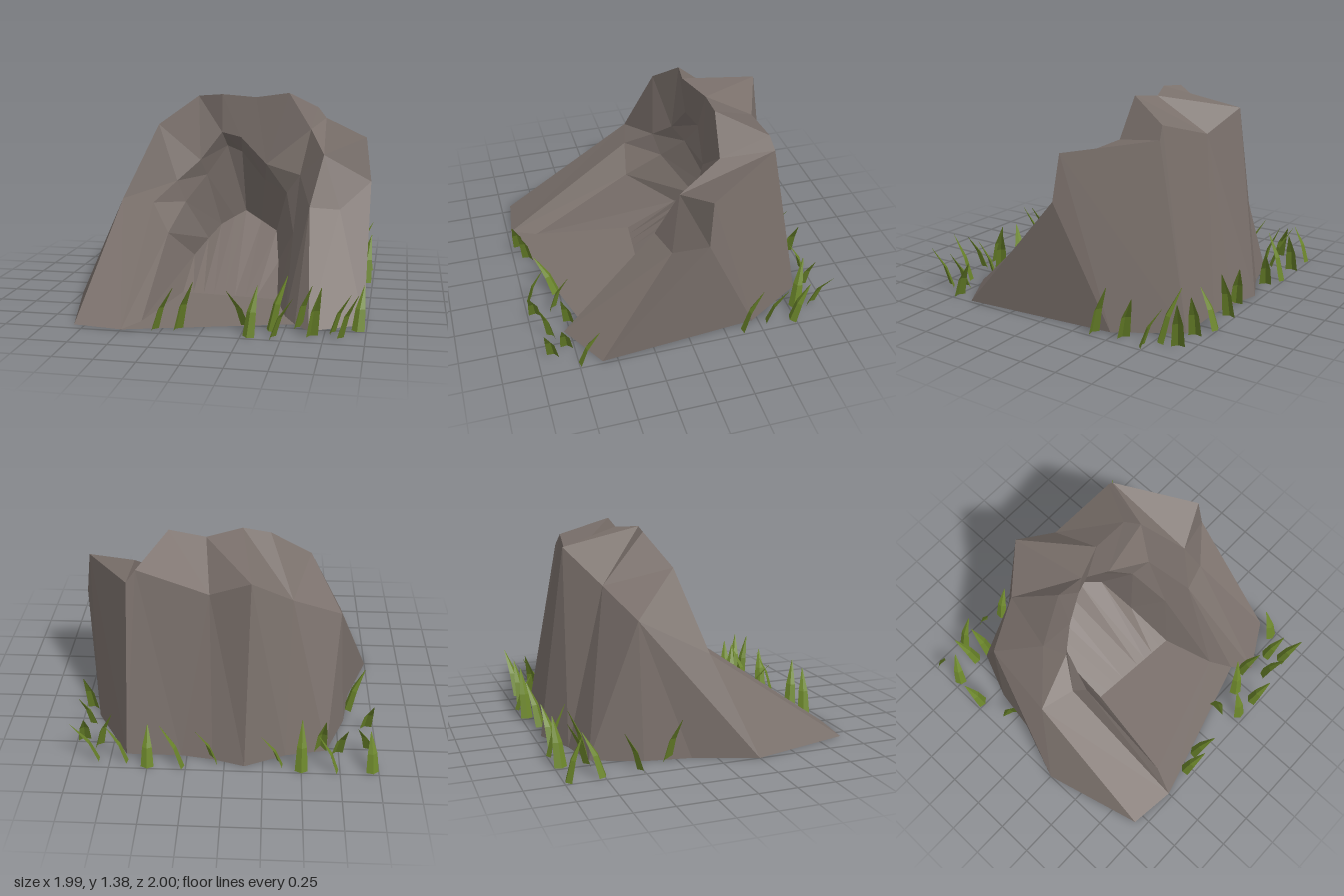
import * as THREE from 'three';

const rock = new THREE.MeshStandardMaterial({ name: 'grey brown rock', color: 0x7a706b, flatShading: true, side: THREE.DoubleSide });
const green = new THREE.MeshStandardMaterial({ name: 'grass green', color: 0x6a842a, flatShading: true, side: THREE.DoubleSide });

// Facets stitched between two rows of points of equal length
function skin(pos, a, b) {
  const tri = (p, q, r) => {
    if (p !== q && q !== r && r !== p) pos.push(...p, ...q, ...r);
  };
  for (let i = 0; i < a.length - 1; i++) {
    tri(a[i], a[i + 1], b[i + 1]);
    tri(a[i], b[i + 1], b[i]);
  }
}

function facetMesh(name, material, ...rows) {
  const pos = [];
  for (const [a, b] of rows) skin(pos, a, b);
  const geo = new THREE.BufferGeometry();
  geo.setAttribute('position', new THREE.Float32BufferAttribute(pos, 3));
  geo.computeVertexNormals();
  const mesh = new THREE.Mesh(geo, material);
  mesh.name = name;
  return mesh;
}

function createRock() {
  const group = new THREE.Group();
  group.name = 'caveRock';

  // Footprint, from the left front corner round the back to the right front
  const g = [
    [-0.5, 0.97], [-0.82, 0.93], [-1, 0.25], [-0.85, -0.15], [-0.8, -0.45], [-0.67, -0.77],
    [-0.4, -0.83], [-0.13, -0.95], [0.08, -0.89], [0.29, -0.86], [0.65, -0.86], [0.89, -0.46],
    [0.98, 0.6], [0.65, 0.79], [0.55, 0.67],
  ].map(([x, z]) => [x, 0, z]);

  // Shoulder corners
  const westFront = [-0.77, 0.64, 0], westBack = [-0.74, 0.88, -0.46];
  const back1 = [-0.42, 1.05, -0.59], back2 = [-0.16, 1.27, -0.78], back3 = [0.1, 1.13, -0.68];
  const back4 = [0.56, 1.26, -0.62], back5 = [0.62, 1.18, -0.64];
  const eastTop = [0.94, 1.1, -0.13], eastLow = [0.98, 0.8, -0.1], eastFront = [0.78, 0.63, 0.08];

  // Crest corners
  const crestW = [-0.54, 1.16, -0.16], crest1 = [-0.27, 1.36, -0.27], crest2 = [-0.09, 1.375, -0.24];
  const crest3 = [0.14, 1.35, -0.33], crest4 = [0.38, 1.385, -0.31], crest5 = [0.54, 1.13, -0.3];
  const crestE = [0.66, 0.99, 0];

  // Cave rings from the mouth inward, each from left foot to right foot
  const mouth = [
    g[0], [-0.53, 0.63, 0.06], [-0.4, 0.76, -0.12], [-0.25, 0.9, -0.22], [-0.1, 1.1, -0.27],
    [0.03, 1.06, -0.32], [0.22, 0.87, -0.3], [0.48, 0.82, -0.16], [0.58, 0.65, 0.14], g[14],
  ];
  const middle = [
    [-0.42, 0, 0.79], [-0.42, 0.42, 0.08], [-0.35, 0.6, -0.17], [-0.22, 0.78, -0.31], [-0.08, 0.99, -0.38],
    [0.02, 0.94, -0.43], [0.2, 0.74, -0.38], [0.38, 0.68, -0.22], [0.46, 0.45, 0.04], [0.47, 0, 0.52],
  ];
  const inner = [
    [-0.31, 0, 0.1], [-0.31, 0.18, -0.27], [-0.23, 0.28, -0.4], [-0.15, 0.37, -0.5], [-0.06, 0.42, -0.56],
    [0.02, 0.46, -0.62], [0.15, 0.4, -0.55], [0.28, 0.35, -0.44], [0.33, 0.18, -0.18], [0.37, 0, 0.16],
  ];
  const lipW = mouth[1], lipNW = mouth[2], lipE = mouth[8];

  // Outer walls, ground to shoulder
  group.add(facetMesh('outerWalls', rock, [
    [g[0], g[1], g[2], g[3], g[4], g[5], g[5], g[6], g[7], g[8], g[9], g[10], g[10], g[11], g[11], g[12], g[13], g[14]],
    [lipW, westFront, westFront, westBack, westBack, westBack, back1, back1, back2, back3, back3, back4, back5,
      eastTop, eastLow, eastLow, eastFront, lipE],
  ]));

  // Crown, shoulder to crest
  group.add(facetMesh('crown', rock, [
    [lipW, westFront, westFront, westBack, back1, back1, back1, back2, back2, back3, back4, back4, back5, back5,
      eastTop, eastLow, eastFront, lipE],
    [lipNW, lipNW, crestW, crestW, crestW, crest1, crest2, crest2, crest3, crest3, crest4, crest5, crest5, crestE,
      crestE, crestE, crestE, crestE],
  ]));

  // Brow, crest down to the mouth of the cave
  group.add(facetMesh('brow', rock, [
    [crestW, crest1, crest2, crest3, crest4, crest5, crest5, crestE, crestE],
    [lipNW, mouth[3], mouth[4], mouth[5], mouth[6], mouth[6], mouth[7], mouth[7], lipE],
  ]));

  // Overhanging cave walls, the ramp rising to the back and the level floor
  const first = new THREE.Vector3(...inner[0]), last = new THREE.Vector3(...inner[9]);
  const foot = inner.map((p, i) => (i === 0 || i === 9 ? p : first.clone().lerp(last, i / 9).toArray()));
  group.add(facetMesh('caveWalls', rock, [mouth, middle], [middle, inner]));
  group.add(facetMesh('caveRamp', rock, [foot, inner]));
  group.add(facetMesh('caveFloor', rock, [
    [mouth[0], middle[0], inner[0]],
    [mouth[9], middle[9], inner[9]],
  ]));
  return group;
}

// One folded blade leaning from its base (bx, bz) to its tip (tx, tz)
function createBlade(bx, bz, tx, tz, height) {
  const dx = tx - bx, dz = tz - bz, len = Math.hypot(dx, dz);
  const ux = dx / len, uz = dz / len;
  const section = (t, lean, half) => [-1, 0, 1].map((s) => {
    const fold = s === 0 ? -half * 0.5 : 0;
    return [
      bx + dx * lean - uz * half * s + ux * fold,
      height * t,
      bz + dz * lean + ux * half * s + uz * fold,
    ];
  });
  const rows = [section(0, 0, 0.042), section(0.5, 0.35, 0.032), section(1, 1, 0.002)];
  return facetMesh('grassBlade', green, [rows[0], rows[1]], [rows[1], rows[2]]);
}

function createGrass() {
  const group = new THREE.Group();
  group.name = 'grass';
  const back = [
    [-0.96, -0.97, -0.94, -0.88], [-0.72, -0.96, -0.6, -0.98], [-0.5, -0.98, -0.5, -0.87],
    [-0.36, -0.92, -0.24, -0.97], [0.07, -0.91, 0.18, -0.98], [0.28, -0.96, 0.41, -0.97],
    [0.5, -0.98, 0.5, -0.87], [0.65, -0.92, 0.76, -0.95], [0.84, -0.91, 0.98, -0.98],
  ];
  const sides = [
    [-0.95, -0.76, -0.86, -0.86], [-0.74, -0.8, -0.79, -0.93], [-0.63, -0.78, -0.65, -0.89],
    [-0.95, -0.52, -0.98, -0.63], [-0.84, -0.31, -0.95, -0.25], [0.84, -0.79, 0.73, -0.87],
    [0.95, -0.73, 0.92, -0.85], [0.91, -0.57, 0.98, -0.67], [0.95, -0.38, 0.98, -0.49], [0.95, 0.73, 0.98, 0.61],
  ];
  const front = [
    [-0.29, 0.94, -0.16, 0.99], [-0.15, 0.9, -0.04, 0.97], [0.25, 0.77, 0.15, 0.89], [0.3, 0.96, 0.34, 0.86],
    [0.42, 0.82, 0.51, 0.72], [0.45, 0.95, 0.57, 0.99], [0.58, 0.74, 0.67, 0.8], [0.68, 0.88, 0.74, 0.96],
    [0.8, 0.8, 0.91, 0.84], [0.85, 0.9, 0.96, 0.96],
  ];
  [...back, ...sides, ...front].forEach((b, i) => group.add(createBlade(...b, 0.26 + 0.035 * (i % 3))));
  return group;
}

export function createModel() {
  const model = new THREE.Group();
  model.name = 'rockCave';
  model.add(createRock(), createGrass());
  return model;
}
